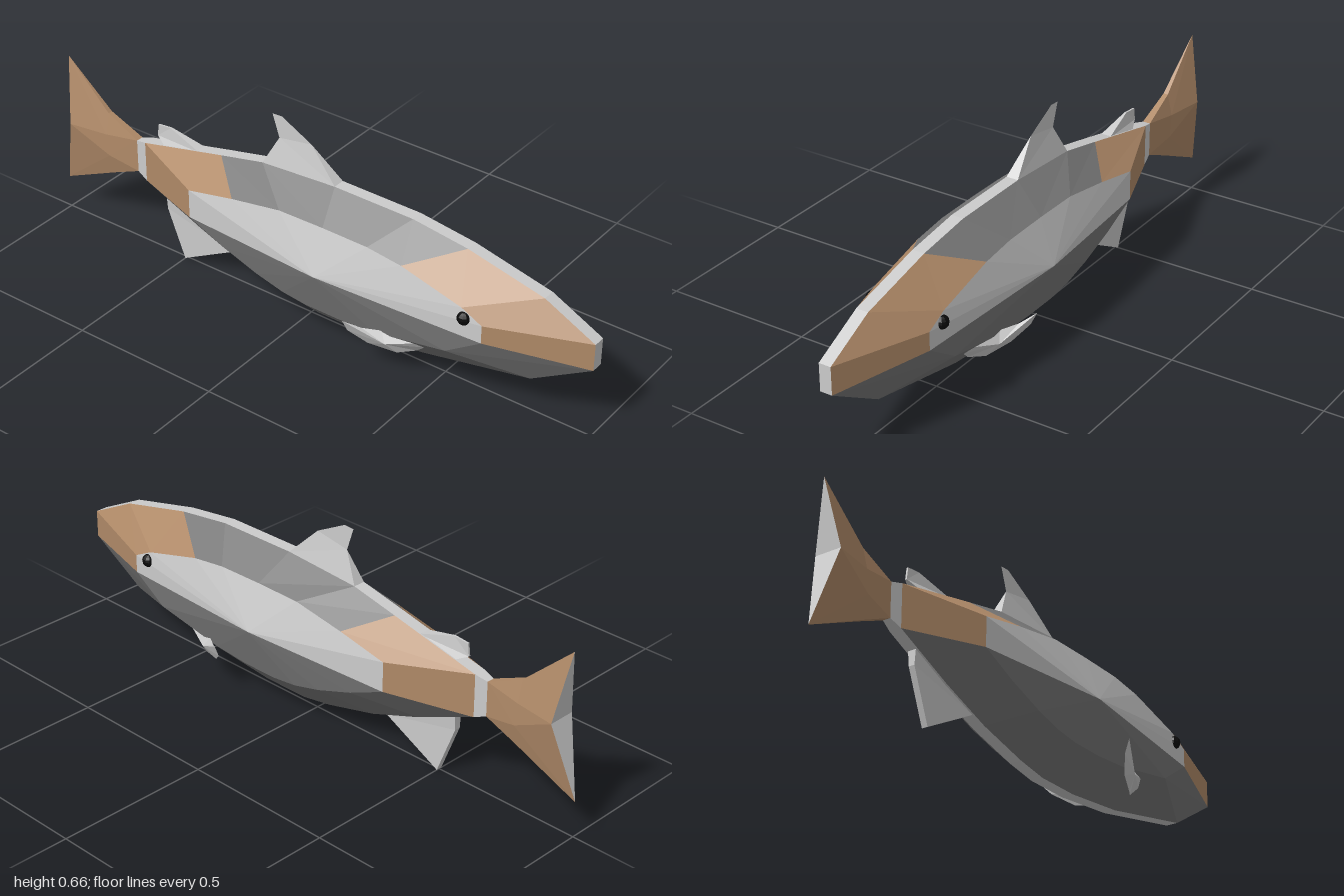
import * as THREE from 'three';

const GREY = 0xcccccc, DARK = 0x787878, BROWN = 0xb08a68, BLACK = 0x0a0a0a;

function material(color, side = THREE.FrontSide) {
  return new THREE.MeshStandardMaterial({ color, flatShading: true, side });
}

// Mesh from a list of triangles, each three [x, y, z] corners
function triMesh(name, tris, color, side) {
  const g = new THREE.BufferGeometry();
  g.setAttribute('position', new THREE.Float32BufferAttribute(tris.flat(2), 3));
  g.computeVertexNormals();
  const m = new THREE.Mesh(g, material(color, side));
  m.name = name;
  return m;
}

const quad = (a, b, c, d) => [[a, b, c], [a, c, d]];
const mirror = tris => tris.map(t => t.map(([x, y, z]) => [x, y, -z]).reverse());

// Turns triangles of the +z half outward, then adds the mirrored half
function bothSides(tris) {
  const half = tris.map(([a, b, c]) => {
    const nz = (b[0] - a[0]) * (c[1] - a[1]) - (b[1] - a[1]) * (c[0] - a[0]);
    return nz < 0 ? [a, c, b] : [a, b, c];
  });
  return [...half, ...mirror(half)];
}

// Closed outlines, clockwise from the tail: back edge, snout, belly edge
const ridge = [
  [-0.64, 0.385], [-0.33, 0.455], [-0.17, 0.49], [0.1, 0.507], [0.38, 0.505], [0.57, 0.48],
  [0.83, 0.42], [1, 0.335], [1, 0.245], [0.8, 0.125], [0.43, 0.05], [0.2, 0.027],
  [0.04, 0.027], [-0.07, 0.045], [-0.25, 0.09], [-0.43, 0.155], [-0.64, 0.245],
].map(([x, y]) => [x, y, 0.02]);
const flank = [
  [-0.38, 0.36], [-0.21, 0.395], [-0.03, 0.425], [0.13, 0.427], [0.29, 0.425], [0.41, 0.41],
  [0.62, 0.355], [0.69, 0.32], [0.69, 0.26], [0.57, 0.18], [0.32, 0.135], [0.19, 0.125],
  [0.07, 0.125], [-0.02, 0.135], [-0.12, 0.16], [-0.25, 0.205], [-0.38, 0.262],
].map(([x, y]) => [x, y, 0.12]);
const bulge = [0.13, 0.278, 0.167];

function createBody() {
  const body = new THREE.Group();
  body.name = 'body';
  const n = ridge.length;
  const parts = { back: [], head: [], tailRoot: [], belly: [], upperFlank: [], lowerFlank: [], keel: [] };
  const flip = ([x, y, z]) => [x, y, -z];
  for (let i = 0; i < n; i++) {
    const j = (i + 1) % n;
    const band = i === 0 || i === n - 1 ? 'tailRoot' : i < 5 ? 'back' : i < 8 ? 'head' : 'belly';
    parts[band].push(...quad(ridge[i], ridge[j], flank[j], flank[i]));
    parts[i < 8 || i === n - 1 ? 'upperFlank' : 'lowerFlank'].push([flank[i], flank[j], bulge]);
    parts.keel.push(...quad(ridge[i], flip(ridge[i]), flip(ridge[j]), ridge[j]).map(t => [...t].reverse()));
  }
  const colors = { back: DARK, head: BROWN, tailRoot: BROWN, belly: DARK, upperFlank: GREY, lowerFlank: DARK };
  for (const name in colors) body.add(triMesh(name, bothSides(parts[name]), colors[name]));
  body.add(triMesh('keel', parts.keel, GREY, THREE.DoubleSide));
  return body;
}

function createTail() {
  const tail = new THREE.Group();
  tail.name = 'tail';
  // Narrow joint behind the body
  const a = [-0.64, 0.385, 0.02], b = [-0.68, 0.375, 0.013], c = [-0.68, 0.262, 0.013], d = [-0.64, 0.245, 0.02];
  const flip = ([x, y, z]) => [x, y, -z];
  tail.add(triMesh('tailJoint', [
    ...bothSides(quad(a, b, c, d)), ...quad(a, flip(a), flip(b), b), ...quad(c, flip(c), flip(d), d),
  ], GREY, THREE.DoubleSide));
  // Forked fin, thickest at the notch
  const top = [-0.965, 0.58, 0], low = [-1, 0.115, 0], notch = [-0.935, 0.36, 0.045];
  const up = [-0.8, 0.43, 0.008], down = [-0.785, 0.215, 0.008];
  const midUp = [-0.8, 0.36, 0.025], midDown = [-0.79, 0.285, 0.025];
  tail.add(triMesh('tailFin', [
    ...bothSides([
      ...quad(b, up, midUp, b), ...quad(b, midUp, midDown, c), [c, midDown, down],
      [up, top, midUp], [top, notch, midUp], [midUp, notch, midDown],
      [notch, low, midDown], [midDown, low, down],
    ]),
    ...quad(b, flip(b), flip(up), up), ...quad(up, flip(up), top, top),
    ...quad(c, flip(c), flip(down), down), ...quad(down, flip(down), low, low),
  ], BROWN, THREE.DoubleSide));
  tail.add(triMesh('tailNotch', [[top, flip(notch), notch], [low, notch, flip(notch)]], GREY, THREE.DoubleSide));
  return tail;
}

// Fin whose root has width w and whose edge has width e; points run root rear, edge..., root front
function medianFin(name, points, w, e) {
  const p = points.map(([x, y], i) => [x, y, i === 0 || i === points.length - 1 ? w : e(i)]);
  const last = p.length - 1;
  const tris = [];
  // Split the outline into a strip between its rear and front edges
  for (let i = 0, j = last; j - i > 1;) {
    tris.push([p[i], p[i + 1], p[j]]);
    i++;
    if (j - i > 1) { tris.push([p[i], p[j - 1], p[j]]); j--; }
  }
  const rim = [];
  for (let i = 0; i < last; i++) {
    const [a, b] = [p[i], p[i + 1]];
    rim.push(...quad(a, [a[0], a[1], -a[2]], [b[0], b[1], -b[2]], b));
  }
  return triMesh(name, [...bothSides(tris), ...rim], GREY, THREE.DoubleSide);
}

// Side fin: leaf outline with an outer and an inner ridge point
function sideFin(name, side) {
  const rim = [
    [0.255, 0.188, 0.19], [0.26, 0.145, 0.17], [0.31, 0.1, 0.135], [0.39, 0.08, 0.1], [0.44, 0.092, 0.07],
    [0.475, 0.125, 0.08], [0.46, 0.145, 0.1], [0.35, 0.155, 0.122], [0.3, 0.163, 0.155],
  ];
  const outer = [0.37, 0.122, 0.135], inner = [0.37, 0.12, 0.105];
  const tris = rim.flatMap((a, i) => {
    const b = rim[(i + 1) % rim.length];
    return [[a, b, outer], [b, a, inner]];
  });
  return triMesh(name, side > 0 ? tris : mirror(tris), GREY, THREE.DoubleSide);
}

export function createModel() {
  const fish = new THREE.Group();
  fish.name = 'fish';
  fish.add(createBody(), createTail());

  fish.add(medianFin('dorsalFin',
    [[-0.17, 0.49], [-0.12, 0.585], [-0.145, 0.66], [-0.11, 0.662], [0, 0.605], [0.1, 0.507]], 0.02, () => 0));
  fish.add(medianFin('rearDorsalFin',
    [[-0.56, 0.4], [-0.6, 0.42], [-0.595, 0.46], [-0.545, 0.465], [-0.42, 0.43]], 0.018, () => 0.003));
  fish.add(medianFin('analFin',
    [[-0.565, 0.215], [-0.565, 0.165], [-0.5, 0], [-0.3, 0.108]], 0.014, () => 0.01));

  for (const side of [1, -1]) {
    fish.add(sideFin(side > 0 ? 'leftSideFin' : 'rightSideFin', side));
    const eye = new THREE.Mesh(new THREE.SphereGeometry(0.022, 10, 8), material(BLACK));
    eye.name = side > 0 ? 'leftEye' : 'rightEye';
    eye.position.set(0.63, 0.323, side * 0.119);
    fish.add(eye);
  }
  return fish;
}
